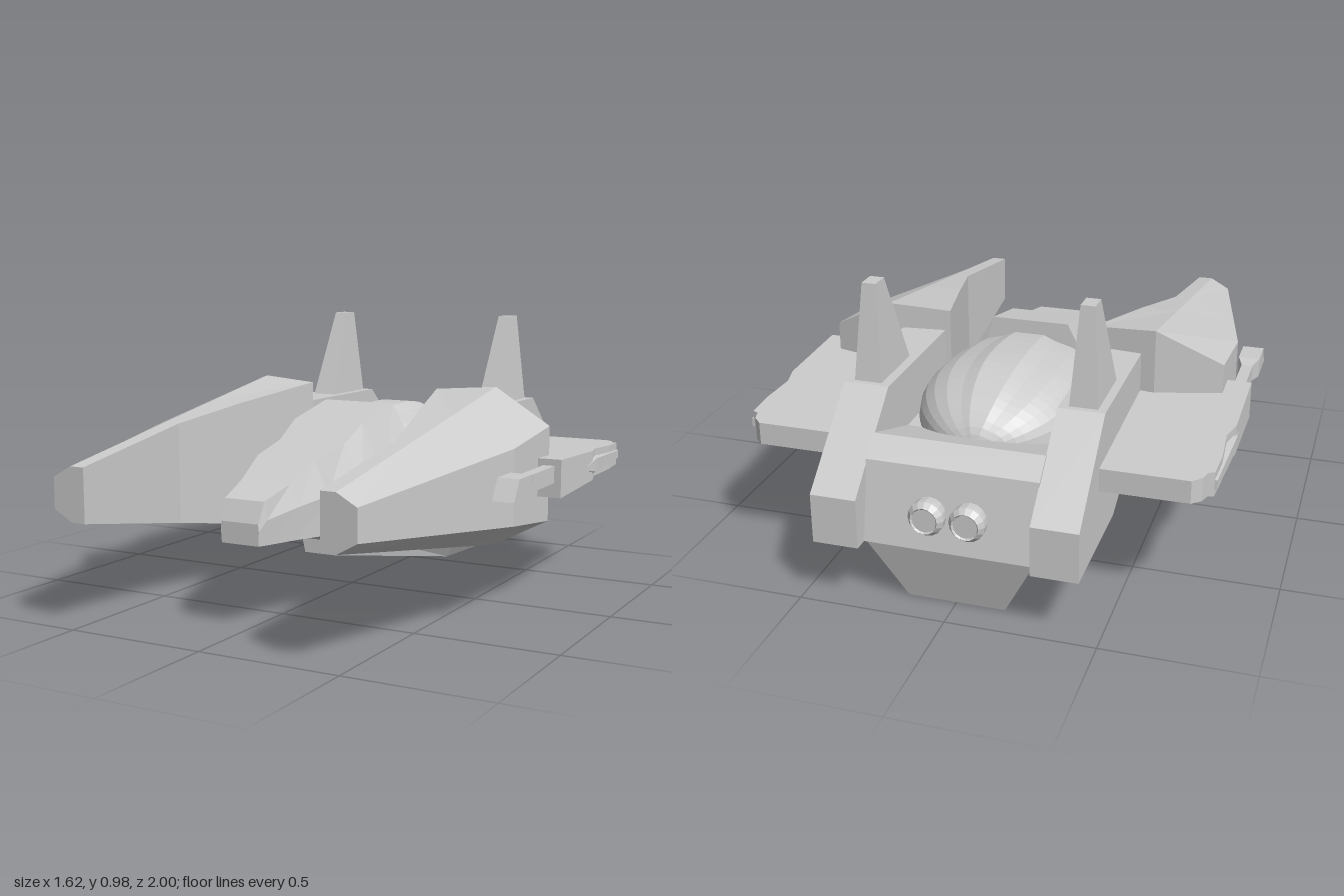
import * as THREE from 'three';

const flat = new THREE.MeshStandardMaterial({ color: 0xcccccc, flatShading: true });

function add(parent, name, geometry) {
  const mesh = new THREE.Mesh(geometry, flat);
  mesh.name = name;
  parent.add(mesh);
  return mesh;
}

// Skin a list of matching [x, y, z] rings, cap both ends and face everything outwards
function loft(rings, side = 1) {
  const n = rings[0].length;
  const pos = rings.flat().flatMap(([x, y, z]) => [x * side, y, z]);
  const idx = [];
  for (let r = 0; r < rings.length - 1; r++)
    for (let i = 0; i < n; i++) {
      const a = r * n + i, b = r * n + (i + 1) % n;
      idx.push(a, b, b + n, a, b + n, a + n);
    }
  const last = (rings.length - 1) * n;
  for (let i = 1; i < n - 1; i++) {
    idx.push(0, i + 1, i, last, last + i, last + i + 1);
  }
  const p = (i) => new THREE.Vector3().fromArray(pos, i * 3);
  let volume = 0;
  for (let i = 0; i < idx.length; i += 3)
    volume += p(idx[i]).dot(p(idx[i + 1]).cross(p(idx[i + 2])));
  if (volume < 0) idx.reverse();
  const g = new THREE.BufferGeometry();
  g.setAttribute('position', new THREE.Float32BufferAttribute(pos, 3));
  g.setIndex(idx);
  const out = g.toNonIndexed();
  out.computeVertexNormals();
  return out;
}

// Extrude a [z, y] side profile between two x positions
function sideExtrude(profile, x0, x1) {
  const shape = new THREE.Shape(profile.map(([z, y]) => new THREE.Vector2(-z, y)));
  const g = new THREE.ExtrudeGeometry(shape, { depth: x1 - x0, bevelEnabled: false });
  return g.rotateY(Math.PI / 2).translate(x0, 0, 0);
}

// Extrude an [x, z] plan outline between two heights
function planExtrude(outline, y0, y1, side) {
  const shape = new THREE.Shape(outline.map(([x, z]) => new THREE.Vector2(x * side, -z)));
  const g = new THREE.ExtrudeGeometry(shape, { depth: y1 - y0, bevelEnabled: false });
  return g.rotateX(-Math.PI / 2).translate(0, y0, 0);
}

const rect = (x0, x1, z0, z1, y) => [[x0, y, z0], [x1, y, z0], [x1, y, z1], [x0, y, z1]];

function buildSide(side) {
  const group = new THREE.Group();
  group.name = side > 0 ? 'leftSide' : 'rightSide';

  // Forward prong: ridge line tapers evenly, inner and outer edges bend on the way
  const prong = [[-0.19, 0.265, 0.72], [0.2, 0.357, 0.72], [0.49, 0.43, 0.662], [1, 0.437, 0.56]];
  add(group, 'prong', loft(prong.map(([z, inner, outer], i) => {
    const t = (z + 0.19) / 1.19;
    const ridge = 0.2925 - 0.2 * t, edge = 0.17 - 0.117 * t;
    const zi = i ? z : -0.165, zo = i ? z : -0.13;
    const inH = i ? ridge : 0.277;
    return [
      [0.49, 0.4525 + ridge, z], [outer, 0.4525 + edge, zo], [outer, 0.4525 - edge, zo],
      [0.49, 0.4525 - ridge, z], [inner, 0.4525 - inH, zi], [inner, 0.4525 + inH, zi],
    ];
  }), side));

  // Engine rail behind the prong
  const rail = [[-0.12, 0.655], [-0.7, 0.655], [-1, 0.39], [-1, 0.22], [-0.56, 0.22], [-0.48, 0.255], [-0.12, 0.255]];
  add(group, 'engineRail', sideExtrude(rail, side > 0 ? 0.285 : -0.44, side > 0 ? 0.44 : -0.285));

  // Upright fin
  add(group, 'fin', loft([
    rect(0.317, 0.412, -0.68, -0.43, 0.65),
    rect(0.34, 0.388, -0.64, -0.57, 0.982),
  ], side));

  // Wing plate, thinner toward the back
  const wing = planExtrude([
    [0.36, -0.02], [0.805, -0.02], [0.805, -0.36], [0.785, -0.44], [0.795, -0.58], [0.79, -0.69],
    [0.77, -0.7], [0.76, -0.735], [0.73, -0.765], [0.36, -0.765],
  ], -1, 1, side);
  const p = wing.attributes.position;
  for (let i = 0; i < p.count; i++) {
    const t = (-0.02 - p.getZ(i)) / 0.745;
    p.setY(i, 0.456 + Math.sign(p.getY(i)) * (0.067 - 0.028 * t));
  }
  wing.computeVertexNormals();
  add(group, 'wing', wing);
  add(group, 'wingTipRail', loft([
    [[0.77, 0.425, -0.3], [0.805, 0.445, -0.3], [0.805, 0.46, -0.3], [0.77, 0.485, -0.3]],
    [[0.77, 0.425, -0.38], [0.812, 0.43, -0.38], [0.812, 0.48, -0.38], [0.77, 0.485, -0.38]],
    [[0.77, 0.435, -0.69], [0.798, 0.44, -0.69], [0.798, 0.47, -0.69], [0.77, 0.475, -0.69]],
  ], side));

  // Wing tip cannon with slanted muzzle
  const gunRing = (w, top, z, zTop = z) => [
    [0.76 - w, 0.44, z], [0.76 + w, 0.44, z], [0.76 + w, top, zTop], [0.76 - w, top, zTop]];
  add(group, 'cannon', loft([
    gunRing(0.02, 0.5, -0.1), gunRing(0.02, 0.5, 0.19), gunRing(0.038, 0.51, 0.24), gunRing(0.038, 0.51, 0.395, 0.35),
  ], side));

  // Rear nozzle
  const nozzle = add(group, 'nozzle', new THREE.LatheGeometry([
    [0, -0.08], [0.05, -0.08], [0.06, 0.015], [0.06, 0.03], [0.045, 0.05], [0.04, 0.045], [0, 0.045],
  ].map(([r, y]) => new THREE.Vector2(r, y)), 16));
  nozzle.rotation.x = -Math.PI / 2;
  nozzle.position.set(side * 0.068, 0.34, -0.928);
  return group;
}

// Dome: half section as [width, height] fractions, with a raised strip along the middle
function domeGeometry() {
  const half = [[1, -0.15], [1, 0], [0.97, 0.25], [0.9, 0.45], [0.78, 0.63], [0.6, 0.79], [0.37, 0.89], [0.2, 1]];
  const section = [...half, ...half.map(([x, y]) => [-x, y]).reverse()];
  const rings = [];
  for (let i = 0; i <= 18; i++) {
    const angle = THREE.MathUtils.degToRad(-88 + i * (88 + 27) / 18);
    const z = -0.32 + Math.sin(angle) * (angle < 0 ? 0.365 : 0.57);
    const c = Math.cos(angle);
    rings.push(section.map(([x, y]) => [x * 0.3 * c, 0.46 + y * 0.195 * c, z]));
  }
  return loft(rings);
}

export function createModel() {
  const model = new THREE.Group();
  model.name = 'spacecraft';

  // Cockpit nose: z, canopy half width, canopy height, side half width, side height, floor half width, floor height
  const nose = [
    [-0.2, 0.2, 0.46, 0.262, 0.44, 0.25, 0.21],
    [-0.06, 0.2, 0.46, 0.265, 0.45, 0.25, 0.21],
    [-0.05, 0.14, 0.68, 0.265, 0.46, 0.25, 0.21],
    [0.18, 0.138, 0.632, 0.23, 0.45, 0.222, 0.217],
    [0.3, 0.13, 0.57, 0.203, 0.44, 0.197, 0.225],
    [0.47, 0.112, 0.54, 0.163, 0.42, 0.16, 0.285],
    [0.6, 0.095, 0.475, 0.125, 0.4, 0.12, 0.29],
    [0.73, 0.075, 0.435, 0.085, 0.375, 0.08, 0.292],
    [0.76, 0.07, 0.365, 0.073, 0.34, 0.07, 0.293],
  ];
  add(model, 'cockpitNose', loft(nose.map(([z, cw, cy, sw, sy, fw, fy]) => [
    [cw, cy, z], [sw, sy, z], [fw, fy, z], [-fw, fy, z], [-sw, sy, z], [-cw, cy, z],
  ])));

  // Belly keel: z of the bottom, half width, height, then z of the top, half width, height
  const keel = [
    [0.245, 0.06, 0.16, 0.245, 0.08, 0.25],
    [-0.56, 0.135, 0.002, -0.56, 0.265, 0.22],
    [-0.88, 0.165, 0, -0.945, 0.283, 0.225],
  ];
  add(model, 'bellyKeel', loft(keel.map(([zb, wb, yb, zt, wt, yt]) => [
    [wt, yt, zt], [wb, yb, zb], [-wb, yb, zb], [-wt, yt, zt],
  ])));

  // Centre hull with slanted stern
  add(model, 'centreHull', sideExtrude([
    [-0.17, 0.2], [-0.17, 0.45], [-0.55, 0.45], [-0.83, 0.55], [-0.9, 0.49], [-0.95, 0.22],
  ], -0.287, 0.287));

  add(model, 'dome', domeGeometry());
  for (const side of [1, -1]) model.add(buildSide(side));
  return model;
}
